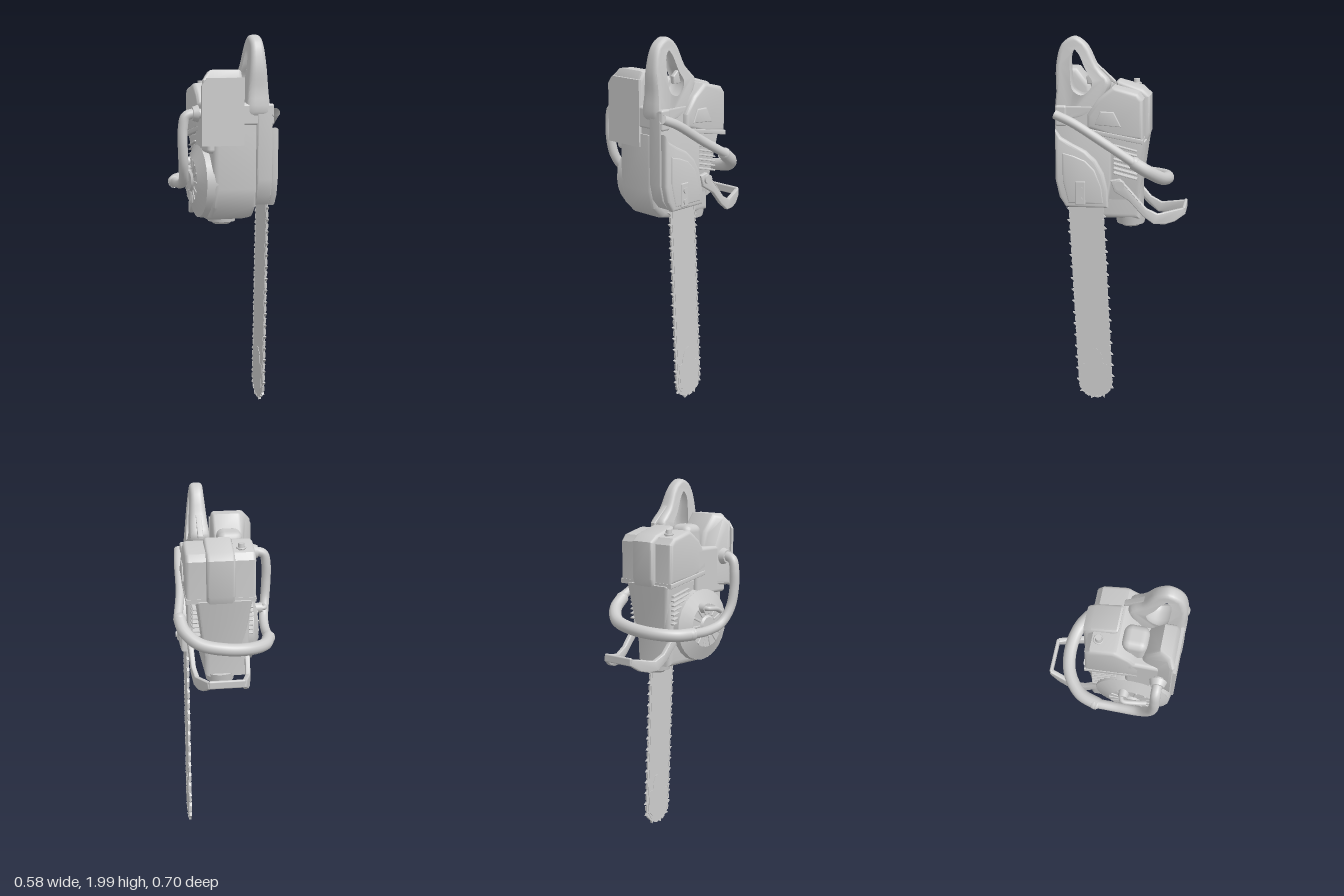
import * as THREE from 'three';
import { toCreasedNormals } from 'three/addons/utils/BufferGeometryUtils.js';
import { RoundedBoxGeometry } from 'three/addons/geometries/RoundedBoxGeometry.js';

const mat = new THREE.MeshStandardMaterial({ color: 0xcccccc, side: THREE.DoubleSide });
const V = (x, y, z) => new THREE.Vector3(x, y, z);
const { clamp, lerp } = THREE.MathUtils;

export function createModel() {
  const root = new THREE.Group();

  const add = (name, geo, x = 0, y = 0, z = 0) => {
    const m = new THREE.Mesh(geo, mat);
    m.name = name;
    m.position.set(x, y, z);
    root.add(m);
    return m;
  };
  const box = (name, w, h, d, x, y, z, r = 0.008) =>
    add(name, new RoundedBoxGeometry(w, h, d, 2, r), x, y, z);

  // Side profile of [z, y] points, spread across x from x0 to x1
  const toShape = (pts, smooth, Type = THREE.Shape) => {
    const p = pts.map(([z, y]) => new THREE.Vector2(-z, y));
    if (!smooth) return new Type(p);
    const c = new THREE.CatmullRomCurve3(p.map(q => V(q.x, q.y, 0)), true);
    return new Type(c.getPoints(48).slice(0, 48).map(q => new THREE.Vector2(q.x, q.y)));
  };
  const slab = (pts, x0, x1, bevel = 0.015, { smooth = false, hole, warp } = {}) => {
    const shape = toShape(pts, smooth);
    if (hole) shape.holes.push(toShape(hole, true, THREE.Path));
    const g = new THREE.ExtrudeGeometry(shape, {
      depth: x1 - x0 - 2 * bevel, bevelEnabled: bevel > 0, bevelSize: bevel,
      bevelOffset: -bevel, bevelThickness: bevel, bevelSegments: 3, steps: 1,
    });
    g.translate(0, 0, x0 + bevel).rotateY(Math.PI / 2);
    if (warp) {
      const a = g.attributes.position, v = V();
      for (let i = 0; i < a.count; i++) {
        warp(v.fromBufferAttribute(a, i));
        a.setXYZ(i, v.x, v.y, v.z);
      }
    }
    return toCreasedNormals(g, 0.6);
  };
  const tube = (name, pts, r, n = 60) =>
    add(name, new THREE.TubeGeometry(new THREE.CatmullRomCurve3(pts.map(p => V(...p))), n, r, 14));
  const disc = (name, r0, r1, h, axis, x, y, z, n = 32) => {
    const m = add(name, new THREE.CylinderGeometry(r0, r1, h, n), x, y, z);
    if (axis === 'x') m.rotation.z = Math.PI / 2; // top end faces -x
    return m;
  };

  // Guide bar: two straight edges and a round nose, slightly tilted
  const tip = [0.136, 0.106], top = [0.187, 1.2];
  const outline = r => {
    const p = [[top[0] - r, top[1]]];
    for (let i = 0; i <= 20; i++) {
      const a = Math.PI * i / 20;
      p.push([tip[0] - r * Math.cos(a), tip[1] - r * Math.sin(a)]);
    }
    p.push([top[0] + r, top[1]]);
    return p;
  };
  add('guideBar', slab(outline(0.08), 0.19, 0.202, 0));
  add('chain', slab(outline(0.092), 0.192, 0.2, 0));
  const nose = [[0.21, 0.21], [0.185, 0.215], [0.18, 0.26], [0.16, 0.295], [0.14, 0.305], [0.115, 0.295],
    [0.1, 0.26], [0.095, 0.215], [0.065, 0.21], [0.07, 0.08], [0.1, 0.05], [0.136, 0.04], [0.17, 0.05], [0.2, 0.08]];
  add('barNose', slab(nose, 0.188, 0.204, 0));

  // Chain links and cutters spaced along the bar edge
  const path = new THREE.CurvePath();
  const edge = outline(0.089).map(([z, y]) => V(0.196, y, z));
  for (let i = 1; i < edge.length; i++) path.add(new THREE.LineCurve3(edge[i - 1], edge[i]));
  const chain = new THREE.Group();
  chain.name = 'chainTeeth';
  const linkGeo = new THREE.BoxGeometry(0.014, 0.01, 0.026);
  const toothGeo = slab([[-0.009, 0], [0.009, 0], [0.008, 0.016], [-0.002, 0.007]], -0.007, 0.007, 0);
  const links = 76;
  for (let i = 0; i < links; i++) {
    const u = (i + 0.5) / links, t = path.getTangentAt(u), out = V(0, -t.z, t.y);
    const m = new THREE.Mesh(i % 2 ? linkGeo : toothGeo, mat);
    m.position.copy(path.getPointAt(u));
    m.quaternion.setFromRotationMatrix(new THREE.Matrix4().makeBasis(V().crossVectors(out, t), out, t));
    chain.add(m);
  }
  root.add(chain);

  // Clutch side: housing, raised cover and nut plate
  add('clutchHousing', slab([[0.345, 1.63], [0.345, 1.25], [0.325, 1.16], [0.285, 1.11], [0.07, 1.11],
    [0.05, 1.25], [0.05, 1.45], [0.17, 1.52]], 0.115, 0.2, 0.01));
  add('clutchCover', slab([[0.34, 1.52], [0.34, 1.25], [0.32, 1.16], [0.285, 1.105], [0.06, 1.105],
    [0.063, 1.2], [0.085, 1.29], [0.125, 1.36], [0.18, 1.41], [0.25, 1.445], [0.31, 1.48]], 0.19, 0.235, 0.015));
  add('coverStep', slab([[0.3, 1.4], [0.3, 1.25], [0.27, 1.13], [0.085, 1.13], [0.095, 1.22], [0.13, 1.31],
    [0.18, 1.36], [0.24, 1.385]], 0.225, 0.239, 0.006));
  box('nutPlate', 0.012, 0.13, 0.055, 0.237, 1.185, 0.207);
  for (const y of [1.15, 1.21]) disc('barNut', 0.016, 0.016, 0.016, 'x', 0.243, y, 0.207, 6);

  // Crankcase and engine block
  add('crankcase', slab([[0.335, 1.5], [0.335, 1.2], [0.31, 1.1], [0.25, 1.04], [0.15, 1.02], [-0.1, 1.02],
    [-0.1, 1.2], [-0.12, 1.47]], -0.12, 0.125, 0.03));
  add('engineBlock', slab([[0.16, 1.5], [0.16, 1.1], [-0.09, 1.1], [-0.1, 1.2], [-0.135, 1.46]], -0.13, 0.17, 0.02, {
    warp: v => { v.x = 0.03 + (v.x - 0.03) * clamp(0.65 + (v.y - 1.1), 0.65, 1); },
  }));
  for (let i = 0; i < 7; i++) for (const x of [-0.115, 0.16]) {
    box('coolingFin', 0.05, 0.009, 0.13, x, 1.27 + i * 0.025, -0.025, 0.003).rotation.x = -0.25;
  }
  disc('muffler', 0.085, 0.075, 0.05, 'y', 0.035, 1.01, -0.04);
  disc('mufflerCap', 0.07, 0.045, 0.02, 'y', 0.035, 0.98, -0.04);

  // Recoil starter on the other flank, with vents and pull grip
  disc('starterHousing', 0.195, 0.205, 0.06, 'x', -0.12, 1.23, 0.13, 24);
  disc('starterCover', 0.12, 0.195, 0.035, 'x', -0.167, 1.23, 0.13, 24);
  disc('starterHub', 0.045, 0.055, 0.012, 'x', -0.19, 1.23, 0.13);
  for (let i = 0; i < 14; i++) {
    const a = i / 14 * Math.PI * 2;
    const m = box('starterVent', 0.012, 0.012, 0.06, -0.183, 1.23 + 0.09 * Math.sin(a), 0.13 + 0.09 * Math.cos(a), 0.004);
    m.rotation.x = -a;
  }
  tube('pullGrip', [[-0.19, 1.33, 0.08], [-0.23, 1.33, 0.09], [-0.225, 1.32, 0.16], [-0.21, 1.3, 0.21]], 0.013, 20);
  disc('pullCordGuide', 0.025, 0.03, 0.06, 'x', -0.185, 1.33, 0.09);

  // Engine hood with raised centre and side recess
  const hoodPts = [[0.17, 1.53], [0.17, 1.6], [0.11, 1.69], [0.04, 1.745], [0.02, 1.745], [-0.095, 1.715],
    [-0.122, 1.68], [-0.122, 1.47], [0.05, 1.49]];
  add('engineHood', slab(hoodPts, -0.15, 0.222, 0.02));
  add('hoodRidge', slab([[0.03, 1.76], [0.02, 1.765], [-0.11, 1.725], [-0.15, 1.69], [-0.15, 1.49],
    [-0.135, 1.45], [0.03, 1.46]], -0.037, 0.115, 0.02));
  add('hoodSeam', slab([[0.15, 1.5], [0.15, 1.525], [-0.124, 1.475], [-0.124, 1.45]], -0.152, 0.223, 0.004));
  add('hoodVent', slab([[0.13, 1.55], [0.1, 1.62], [0.03, 1.62], [-0.01, 1.54]], 0.21, 0.23, 0.006));
  disc('hoodKnob', 0.016, 0.02, 0.04, 'y', -0.077, 1.735, -0.06, 20);
  add('knobRim', new THREE.TorusGeometry(0.022, 0.005, 8, 24).rotateX(Math.PI / 2), -0.077, 1.73, -0.06);

  // Rear tank, flaring on one flank toward its base plate, with rounded filler cap
  box('rearBody', 0.34, 0.26, 0.24, 0.02, 1.52, 0.205, 0.02);
  add('tank', slab([[0.335, 1.43], [0.335, 1.77], [0.31, 1.82], [0.25, 1.82], [0.18, 1.73], [0.16, 1.62],
    [0.16, 1.43]], -0.185, 0.045, 0.025, {
    warp: v => {
      const flare = clamp((v.z - 0.16) / 0.17, 0, 1) ** 1.3;
      v.x = 0.03 + (v.x - 0.03) * lerp(0.68, 1, flare) * (1 - 0.15 * clamp((v.y - 1.77) / 0.05, 0, 1));
    },
  }));
  const plate = new THREE.Shape([[-0.185, 1.43], [0.045, 1.43], [0.045, 1.78], [-0.155, 1.78], [-0.185, 1.74]]
    .map(p => new THREE.Vector2(...p)));
  add('tankBase', new THREE.ExtrudeGeometry(plate, { depth: 0.017, bevelEnabled: false }), 0, 0, 0.328);
  box('fillerCap', 0.135, 0.18, 0.13, -0.037, 1.68, 0.12, 0.04);
  box('handleBracket', 0.18, 0.11, 0.06, 0.12, 1.59, 0.312, 0.012);

  // Rear handle: closed loop, widening toward its root
  add('rearHandle', slab(
    [[0.34, 1.58], [0.343, 1.72], [0.343, 1.85], [0.312, 1.96], [0.245, 2.0], [0.18, 1.96], [0.12, 1.845],
      [0.055, 1.765], [0.09, 1.68], [0.15, 1.6], [0.24, 1.56]], 0.09, 0.16, 0.022, {
      smooth: true,
      hole: [[0.27, 1.71], [0.288, 1.82], [0.282, 1.92], [0.243, 1.957], [0.205, 1.925], [0.165, 1.84],
        [0.125, 1.765], [0.155, 1.7], [0.21, 1.675]],
      warp: v => { v.x = 0.125 + (v.x - 0.125) * (1 + 0.9 * clamp((1.95 - v.y) / 0.35, 0, 1)); },
    }));
  add('trigger', slab([[0.15, 1.82], [0.185, 1.79], [0.18, 1.75], [0.13, 1.75]], 0.112, 0.138, 0.006));
  add('throttleLock', slab([[0.14, 1.87], [0.03, 1.77], [0.03, 1.755], [0.1, 1.79]], 0.11, 0.14, 0.005));

  // Wrap-around front handle: thin tube, thick grip, thin tube back to the tank
  tube('handleTubeRight', [[0.215, 1.6, 0.343], [0.225, 1.56, 0.25], [0.235, 1.45, 0.07], [0.262, 1.36, -0.08]], 0.024);
  tube('frontGrip', [[0.255, 1.36, -0.075], [0.235, 1.31, -0.15], [0.16, 1.26, -0.215], [0.03, 1.235, -0.24],
    [-0.1, 1.22, -0.215], [-0.195, 1.21, -0.14], [-0.235, 1.21, -0.035]], 0.034, 80);
  for (const p of [[0.253, 1.358, -0.083], [-0.232, 1.21, -0.055]]) add('gripEnd', new THREE.SphereGeometry(0.033, 16, 12), ...p);
  tube('handleTubeLeft', [[-0.231, 1.21, -0.05], [-0.232, 1.212, 0.08], [-0.24, 1.24, 0.18], [-0.255, 1.32, 0.24],
    [-0.264, 1.42, 0.26], [-0.264, 1.52, 0.262], [-0.25, 1.58, 0.262], [-0.215, 1.595, 0.262], [-0.17, 1.595, 0.262]], 0.026, 80);
  disc('handleMount', 0.035, 0.045, 0.03, 'x', -0.2, 1.595, 0.262);

  // Hand guard: two curved arms that lean together, joined by a crossbar
  const arm = [[0.05, 1.25], [0, 1.26], [-0.06, 1.195], [-0.14, 1.1], [-0.2, 1.07], [-0.335, 1.095],
    [-0.342, 1.06], [-0.29, 1.025], [-0.24, 1.012], [-0.18, 1.015], [-0.12, 1.06], [-0.05, 1.14], [0.03, 1.19]];
  const guardArm = (a, b) => add('handGuardArm', slab(arm, -0.013, 0.013, 0.005, {
    warp: v => { v.x += lerp(a, b, clamp(-v.z / 0.34, 0, 1) ** 2.6); },
  }));
  guardArm(0.195, 0.122);
  guardArm(-0.11, -0.055);
  box('handGuardBar', 0.195, 0.045, 0.018, 0.0335, 1.078, -0.335, 0.008);
  disc('guardPivot', 0.025, 0.025, 0.04, 'x', 0.2, 1.225, 0);
  return root;
}
